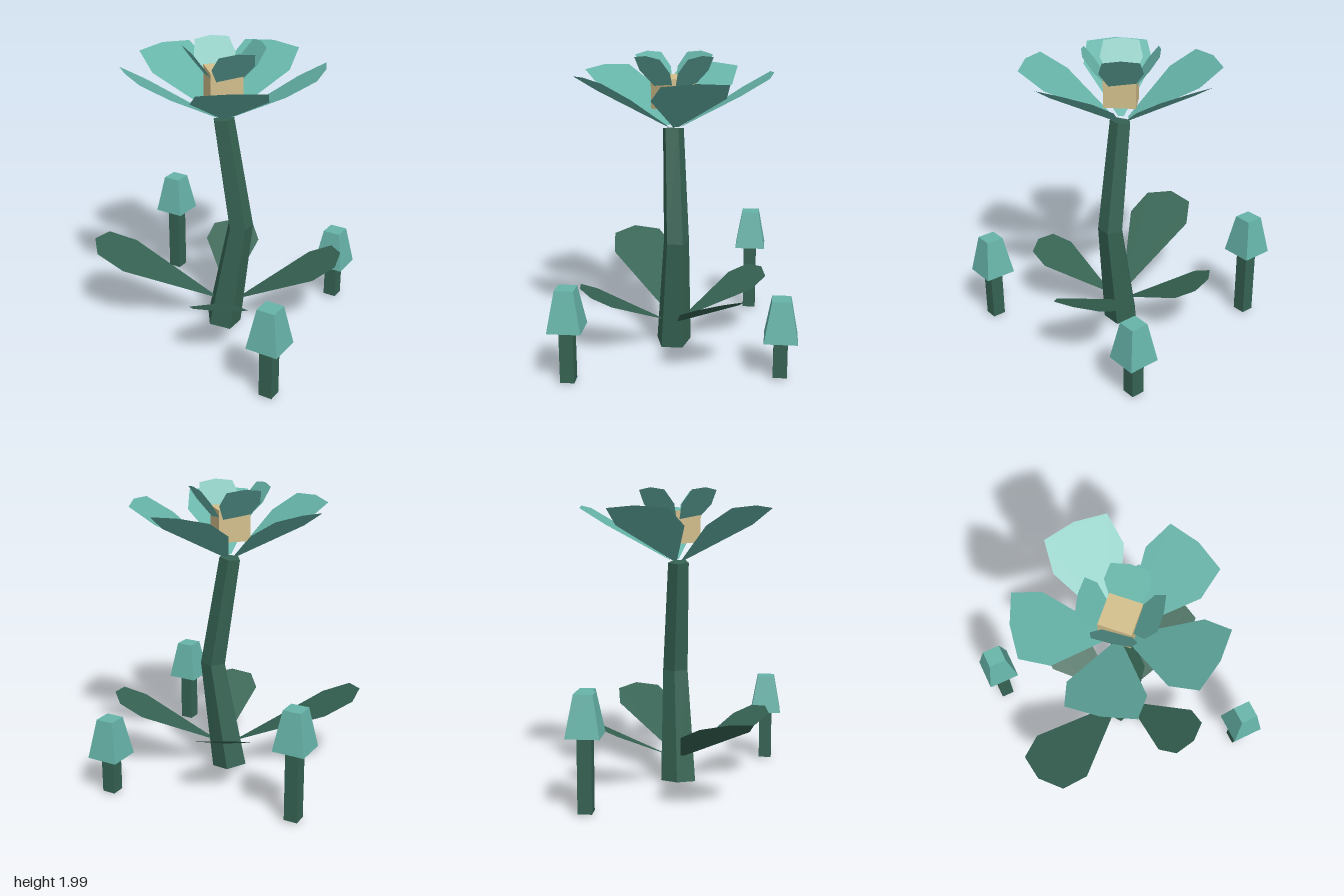
import * as THREE from 'three';

const flat = (name, color) =>
  new THREE.MeshStandardMaterial({ name, color, flatShading: true, side: THREE.DoubleSide });

// Flat blade rising from a narrow base at radius r0, height y0 to a tip at r1, y1
function blade({ r0, y0, r1, y1, halfWidth, baseWidth, wideAt, shoulderAt, shoulder }, angle) {
  const length = Math.hypot(r1 - r0, y1 - y0);
  const side = [
    [baseWidth, 0],
    [halfWidth, wideAt * length],
    [halfWidth * shoulder, shoulderAt * length],
  ];
  const outline = [
    ...side,
    [0, length],
    ...side.map(([w, l]) => [-w, l]).reverse(),
  ].map(([w, l]) => new THREE.Vector2(w, l));
  const geometry = new THREE.ShapeGeometry(new THREE.Shape(outline));
  geometry.rotateX(Math.PI / 2 - Math.atan2(y1 - y0, r1 - r0));
  geometry.translate(0, y0, r0);
  geometry.rotateY(angle);
  return geometry;
}

export function createModel() {
  const model = new THREE.Group();
  model.name = 'flowerWithMushrooms';
  const teal = flat('teal', 0x66b3a8);
  const green = flat('darkGreen', 0x366353);
  const tan = flat('tan', 0xd3bf8c);

  const add = (parent, name, geometry, material, x = 0, y = 0, z = 0) => {
    const mesh = new THREE.Mesh(geometry, material);
    mesh.name = name;
    mesh.position.set(x, y, z);
    parent.add(mesh);
    return mesh;
  };

  // Bent five-sided stem: each ring gets its own centre, radius and tilt
  const rings = [
    { x: 0.015, y: 0.02, z: 0.067, r: 0.122, tilt: -0.15 },
    { x: 0.128, y: 0.77, z: 0.035, r: 0.088, tilt: 0 },
    { x: 0.015, y: 1.51, z: 0.065, r: 0.072, tilt: 0.15 },
  ];
  const stem = new THREE.CylinderGeometry(1, 1, 2, 5, 2).rotateY(-Math.PI / 2);
  const p = stem.attributes.position;
  for (let i = 0; i < p.count; i++) {
    const ring = rings[Math.round(p.getY(i)) + 1];
    const dx = p.getX(i) * ring.r;
    p.setXYZ(i, ring.x + dx, ring.y + dx * ring.tilt, ring.z + p.getZ(i) * ring.r);
  }
  stem.computeVertexNormals();
  add(model, 'stem', stem, green);

  // Leaves near the foot of the stem: direction, reach, tip height, half width
  const leaves = new THREE.Group();
  leaves.name = 'leaves';
  leaves.position.set(0.045, 0, 0.06);
  model.add(leaves);
  [
    [-190, 89, 0.916, 0.605, 0.229],
    [152, -87, 0.765, 0.56, 0.207],
    [-69, -135, 0.66, 0.485, 0.19],
    [62, 134, 0.65, 0.485, 0.19],
  ].forEach(([dx, dz, r1, y1, halfWidth]) => {
    const shape = {
      r0: 0.09, y0: 0.205, r1, y1, halfWidth,
      baseWidth: 0.015, wideAt: 0.71, shoulderAt: 0.93, shoulder: 0.76,
    };
    add(leaves, 'leaf', blade(shape, Math.atan2(dx, dz)), green);
  });

  // Flower head
  const flower = new THREE.Group();
  flower.name = 'flower';
  flower.position.set(0.017, 0, 0.057);
  model.add(flower);

  const outer = {
    r0: 0.05, y0: 1.525, r1: 0.642, y1: 1.88, halfWidth: 0.235,
    baseWidth: 0.018, wideAt: 0.655, shoulderAt: 0.955, shoulder: 0.885,
  };
  for (let i = 0; i < 5; i++) {
    add(flower, 'outerPetal', blade(outer, Math.PI + (i * Math.PI * 2) / 5), teal);
  }

  const inner = {
    r0: 0, y0: 1.655, r1: 0.25, y1: 1.995, halfWidth: 0.14,
    baseWidth: 0.012, wideAt: 0.69, shoulderAt: 0.955, shoulder: 0.83,
  };
  for (let i = 0; i < 4; i++) {
    add(flower, 'innerPetal', blade(inner, 0.89 + (i * Math.PI) / 2), teal);
  }

  // Square heart of the flower, turned to a diamond
  add(flower, 'flowerCentre', new THREE.BoxGeometry(0.21, 0.21, 0.21).rotateY(Math.PI / 4),
    tan, -0.003, 1.742, 0.004);

  // Square mushrooms: x, z, height of the cap's lower edge
  const capHeight = 0.263;
  [[0.507, -0.667, 0.272], [-0.712, -0.434, 0.502], [0.707, 0.653, 0.37]].forEach(([x, z, y]) => {
    const mushroom = new THREE.Group();
    mushroom.name = 'mushroom';
    mushroom.position.set(x, 0, z);
    model.add(mushroom);
    const stalkHeight = y - 0.01;
    add(mushroom, 'mushroomStalk', new THREE.BoxGeometry(0.09, stalkHeight, 0.09), green,
      0, 0.02 + stalkHeight / 2, 0);
    const cap = new THREE.CylinderGeometry(0.06 * Math.SQRT2, 0.1065 * Math.SQRT2, capHeight, 4)
      .rotateY(Math.PI / 4);
    add(mushroom, 'mushroomCap', cap, teal, 0, y + capHeight / 2, 0);
  });

  return model;
}
